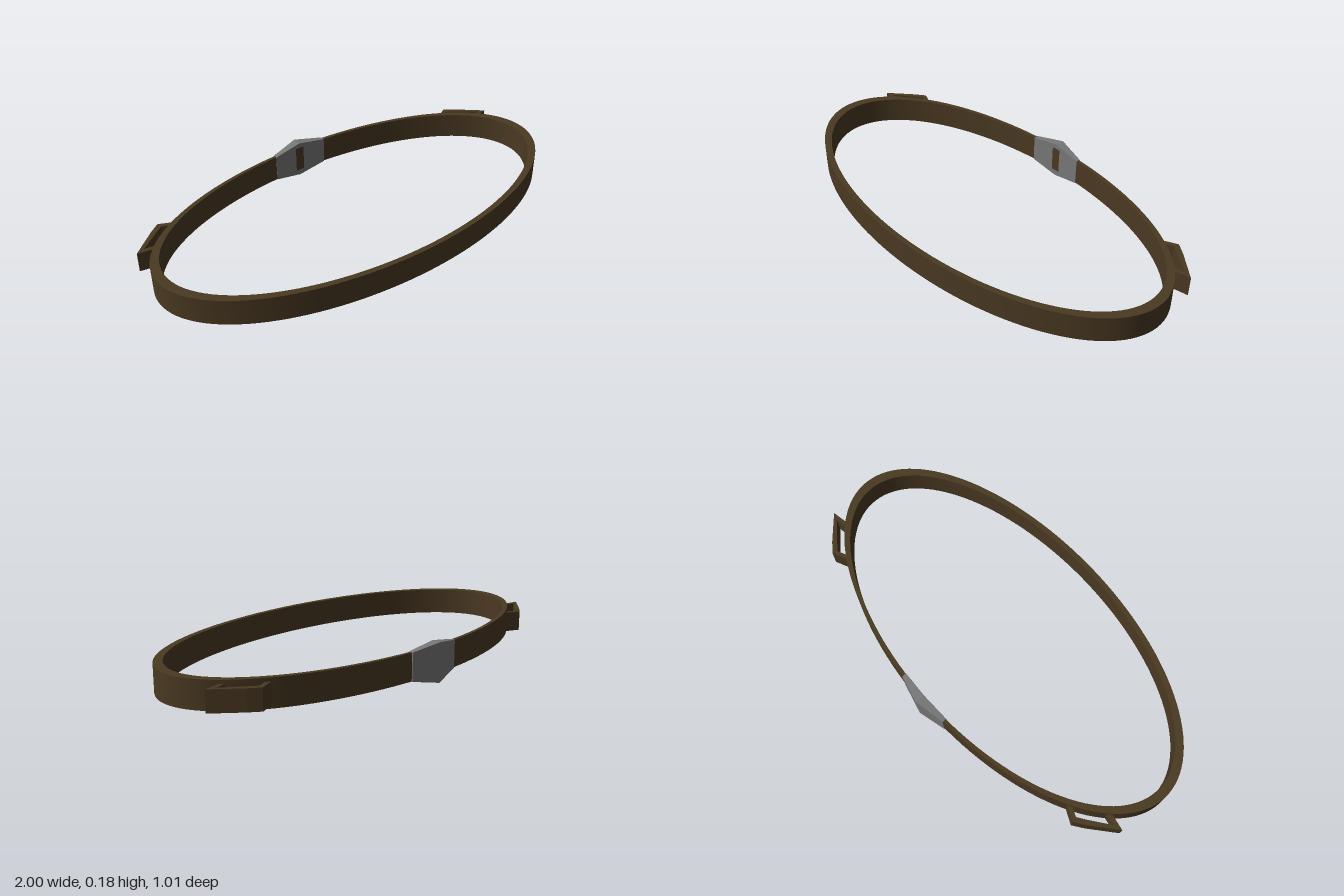
import * as THREE from 'three';
import { toCreasedNormals } from 'three/addons/utils/BufferGeometryUtils.js';

// Extrudes a plan outline (x, -z) upward from y0 to y1
function extrudeUp(shape, y0, y1) {
  const geo = new THREE.ExtrudeGeometry(shape, { depth: y1 - y0, bevelEnabled: false, curveSegments: 64 });
  geo.rotateX(-Math.PI / 2);
  geo.translate(0, y0, 0);
  return geo;
}

// Lofts a closed skin through four-cornered cross-sections, with end caps
function loft(sections) {
  const pos = [];
  const quad = (a, b, c, d) => [a, b, c, a, c, d].forEach((p) => pos.push(...p));
  for (let i = 0; i < sections.length - 1; i++) {
    const s = sections[i], t = sections[i + 1];
    for (let k = 0; k < 4; k++) {
      const n = (k + 1) % 4;
      quad(s[k], s[n], t[n], t[k]);
    }
  }
  const first = sections[0], last = sections[sections.length - 1];
  quad(first[3], first[2], first[1], first[0]);
  quad(last[0], last[1], last[2], last[3]);
  const geo = new THREE.BufferGeometry();
  geo.setAttribute('position', new THREE.Float32BufferAttribute(pos, 3));
  geo.computeVertexNormals();
  return geo;
}

export function createModel() {
  const leather = new THREE.MeshStandardMaterial({ color: 0x4a3922 });
  leather.name = 'brown leather';
  const metal = new THREE.MeshStandardMaterial({ color: 0x787878 });
  metal.name = 'grey metal';

  const model = new THREE.Group();
  model.name = 'belt';
  const add = (name, geo, mat) => {
    const mesh = new THREE.Mesh(geo, mat);
    mesh.name = name;
    model.add(mesh);
  };

  // Oval strap
  const oval = new THREE.Shape().absellipse(0, -0.013, 1, 0.49, 0, Math.PI * 2);
  oval.holes.push(new THREE.Path().absellipse(0, -0.009, 0.957, 0.471, 0, Math.PI * 2));
  add('strap', toCreasedNormals(extrudeUp(oval, 0.033, 0.156), 0.6), leather);

  // Faceted buckle at the back, peaked in the middle
  const section = (x, y0, y1, zIn, zOut) => [[x, y0, zIn], [x, y0, zOut], [x, y1, zOut], [x, y1, zIn]];
  add('buckle', loft([
    section(-0.137, 0.032, 0.157, -0.455, -0.476),
    section(0, 0.003, 0.18, -0.463, -0.507),
    section(0.137, 0.032, 0.157, -0.455, -0.476),
  ]), metal);

  // Hollow side loops: bent strips standing off the strap
  const outline = [
    [0.745, 0.308], [0.818, 0.342], [0.866, 0.307], [0.979, 0.209], [0.89, 0.192],
    [0.882, 0.211], [0.941, 0.221], [0.852, 0.289], [0.812, 0.317], [0.765, 0.296],
  ];
  for (const [side, name] of [[1, 'leftLoop'], [-1, 'rightLoop']]) {
    const shape = new THREE.Shape(outline.map(([x, y]) => new THREE.Vector2(side * x, y)));
    add(name, extrudeUp(shape, 0.047, 0.14), leather);
  }
  return model;
}
